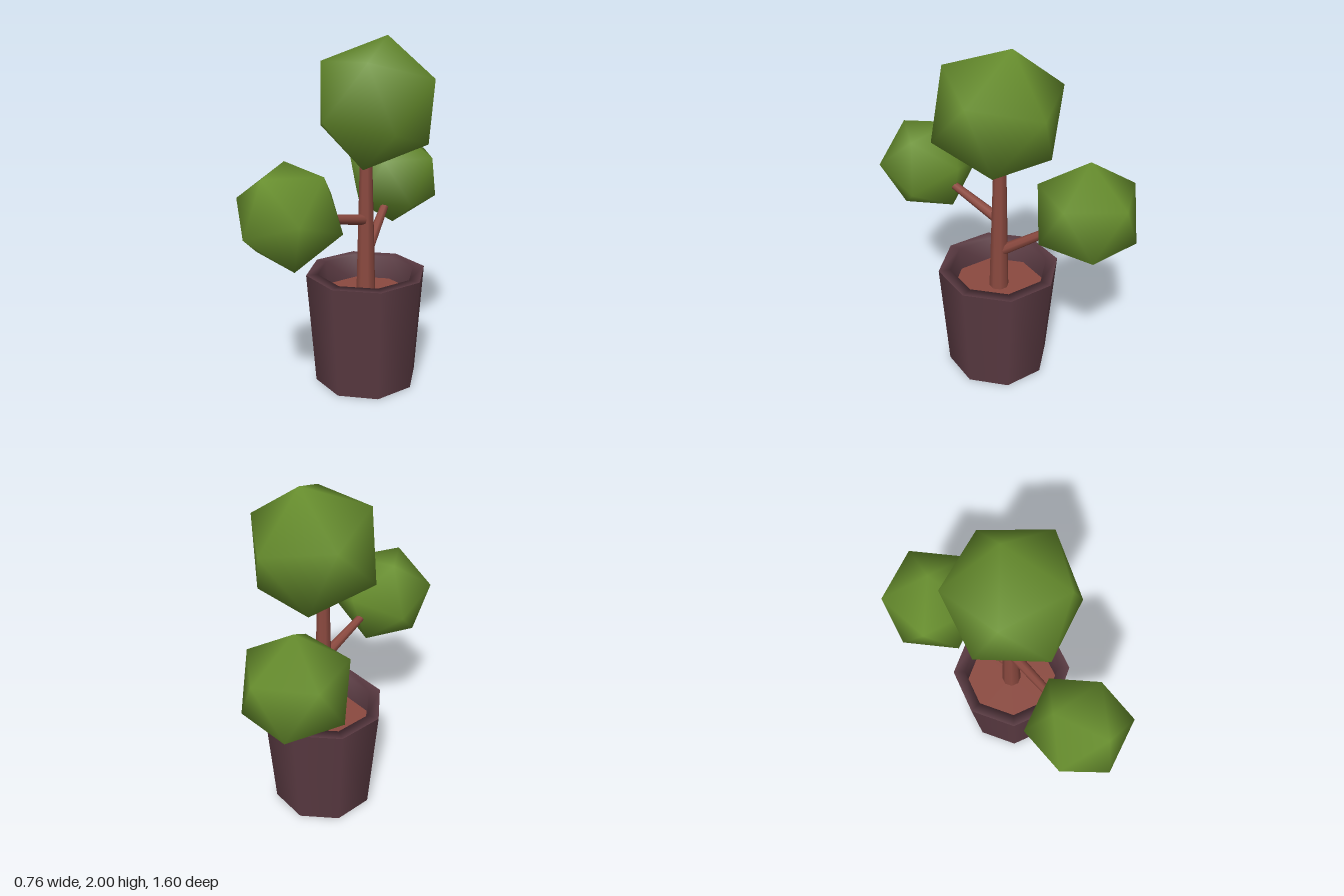
import * as THREE from 'three';

const material = (name, color) => {
  const m = new THREE.MeshStandardMaterial({ color });
  m.name = name;
  return m;
};

export function createModel() {
  const leafGreen = material('leafGreen', 0x688f2e);
  const barkBrown = material('barkBrown', 0x8c4a40);
  const potPlum = material('potPlum', 0x5a3a42);
  const model = new THREE.Group();
  model.name = 'pottedTree';

  const add = (name, geometry, mat, parent = model) => {
    const mesh = new THREE.Mesh(geometry, mat);
    mesh.name = name;
    parent.add(mesh);
    return mesh;
  };
  // Eight-sided turned shape from [radius, height] pairs
  const turned = (points) =>
    new THREE.LatheGeometry(points.map(([r, y]) => new THREE.Vector2(r, y)), 8);

  // Tapered round limb between two points
  const limb = (name, from, to, r0, r1) => {
    const a = new THREE.Vector3(...from);
    const b = new THREE.Vector3(...to);
    const dir = b.clone().sub(a);
    const mesh = add(name, new THREE.CylinderGeometry(r1, r0, dir.length(), 8), barkBrown);
    mesh.position.copy(a).add(b).multiplyScalar(0.5);
    mesh.quaternion.setFromUnitVectors(new THREE.Vector3(0, 1, 0), dir.normalize());
  };

  // Smooth-shaded icosahedron turned so that one edge joins directions a and b
  const foliage = (name, centre, radius, a, b) => {
    const geometry = new THREE.IcosahedronGeometry(radius, 0);
    const pos = geometry.attributes.position;
    const n = new THREE.Vector3();
    for (let i = 0; i < pos.count; i++) {
      n.fromBufferAttribute(pos, i).normalize();
      geometry.attributes.normal.setXYZ(i, n.x, n.y, n.z);
    }
    const va = new THREE.Vector3(...a).normalize();
    const vb = new THREE.Vector3(...b).normalize();
    const x = vb.clone().sub(va).normalize();
    const y = vb.clone().add(va).normalize();
    const z = x.clone().cross(y);
    const mesh = add(name, geometry, leafGreen);
    mesh.quaternion.setFromRotationMatrix(new THREE.Matrix4().makeBasis(x, y, z));
    mesh.position.set(...centre);
  };

  // Pot: base, outer wall, rim with inner wall, and soil
  const pot = new THREE.Group();
  pot.name = 'pot';
  pot.position.set(-0.008, 0, -0.052);
  model.add(pot);
  add('potBase', turned([[0, 0], [0.305, 0]]), potPlum, pot);
  add('potWall', turned([[0.305, 0], [0.353, 0.67]]), potPlum, pot);
  add('potRim', turned([[0.353, 0.67], [0.285, 0.67], [0.27, 0.5]]), potPlum, pot);
  add('soil', turned([[0.275, 0.53], [0, 0.53]]), barkBrown, pot);

  // Trunk and branches
  limb('trunk', [-0.01, 0.5, -0.053], [-0.01, 1.36, -0.053], 0.058, 0.035);
  limb('frontBranch', [-0.01, 0.98, -0.05], [-0.08, 1.08, 0.38], 0.032, 0.022);
  limb('backBranch', [-0.01, 0.765, -0.05], [-0.07, 1.02, -0.4], 0.033, 0.023);

  // Foliage balls
  foliage('topFoliage', [0.038, 1.643, -0.07], 0.37, [0.02, 0.357, -0.095], [0.34, 0.142, -0.04]);
  foliage('frontFoliage', [-0.107, 1.13, 0.527], 0.292, [-0.068, -0.065, 0.275], [-0.015, 0.225, 0.19]);
  foliage('backFoliage', [-0.112, 1.135, -0.54], 0.304, [0, 1, 0], [0.894, 0.447, 0]);

  return model;
}
